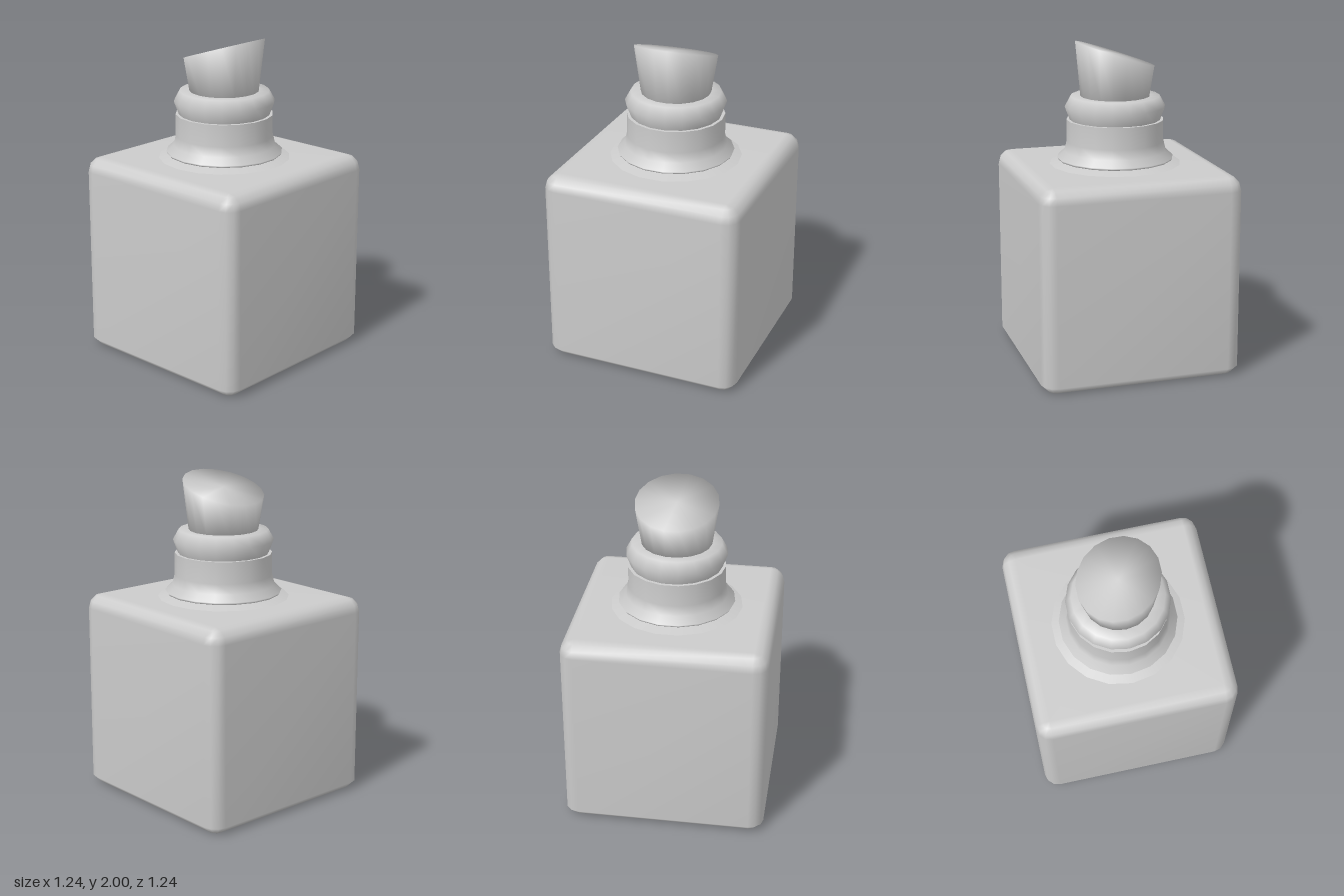
import * as THREE from 'three';
import { mergeVertices } from 'three/addons/utils/BufferGeometryUtils.js';

const SIDES = 18;
const material = new THREE.MeshStandardMaterial({ color: 0xcccccc, side: THREE.DoubleSide });

function lathe(points) {
  return new THREE.LatheGeometry(points.map(([r, y]) => new THREE.Vector2(r, y)), SIDES);
}

function addMesh(parent, name, geometry) {
  const mesh = new THREE.Mesh(geometry, material);
  mesh.name = name;
  parent.add(mesh);
}

// Weld all vertices so shading runs smoothly over every edge
function weld(geometry) {
  geometry.deleteAttribute('normal');
  geometry.deleteAttribute('uv');
  const welded = mergeVertices(geometry, 1e-4);
  welded.computeVertexNormals();
  return welded;
}

// Square body with rounded corners, lofted from stacked outlines
function bodyGeometry() {
  const core = 0.532, bevel = 0.09, steps = 3;
  const rows = [[0, 0], [0.576, 0], [core + bevel, 0.045]]; // [half width, height]
  for (let i = 0; i <= steps; i++) {
    const a = (i / steps) * Math.PI / 2;
    rows.push([core + bevel * Math.cos(a), 1.157 + bevel * Math.sin(a)]);
  }
  rows.push([0, 1.247]);

  const positions = [], index = [];
  const count = 4 * (steps + 1);
  for (const [half, y] of rows) {
    const c = Math.min(half, core);
    for (let q = 0; q < 4; q++) {
      for (let i = 0; i <= steps; i++) {
        const a = (q + i / steps) * Math.PI / 2;
        const sx = q < 2 ? 1 : -1, sz = q === 0 || q === 3 ? 1 : -1;
        positions.push(sx * c + (half - c) * Math.sin(a), y, sz * c + (half - c) * Math.cos(a));
      }
    }
  }
  for (let r = 0; r < rows.length - 1; r++) {
    for (let i = 0; i < count; i++) {
      const a = r * count + i, b = r * count + (i + 1) % count;
      index.push(a, b, b + count, a, b + count, a + count);
    }
  }
  const geometry = new THREE.BufferGeometry();
  geometry.setAttribute('position', new THREE.Float32BufferAttribute(positions, 3));
  geometry.setIndex(index);
  return weld(geometry);
}

// Flared stopper with its top cut on a slant rising toward +x
function stopperGeometry() {
  const geometry = lathe([[0, 1.65], [0.212, 1.65], [0.253, 1.922], [0, 1.922]]);
  const p = geometry.attributes.position;
  for (let i = 0; i < p.count; i++) {
    if (p.getY(i) < 1.9) continue;
    const x = p.getX(i) * 0.96;
    p.setXYZ(i, x, 1.922 + 0.326 * x, p.getZ(i));
  }
  return weld(geometry);
}

export function createModel() {
  const group = new THREE.Group();
  group.name = 'bottle';

  addMesh(group, 'body', bodyGeometry());

  // Neck with low shoulder, flared collar and flat lip
  const neck = new THREE.Group();
  neck.name = 'neck';
  group.add(neck);
  addMesh(neck, 'shoulder', lathe([[0.41, 1.246], [0.33, 1.266]]));
  addMesh(neck, 'collar', lathe([
    [0.33, 1.266], [0.352, 1.272], [0.36, 1.285], [0.315, 1.325], [0.301, 1.385], [0.3, 1.52],
  ]));
  addMesh(neck, 'lip', lathe([[0.3, 1.52], [0.2, 1.52]]));

  // Stopper seated in a rounded ring
  addMesh(group, 'stopperRing', lathe([[0.28, 1.52], [0.31, 1.6], [0.275, 1.664], [0.2, 1.664]]));
  addMesh(group, 'stopper', stopperGeometry());

  return group;
}
